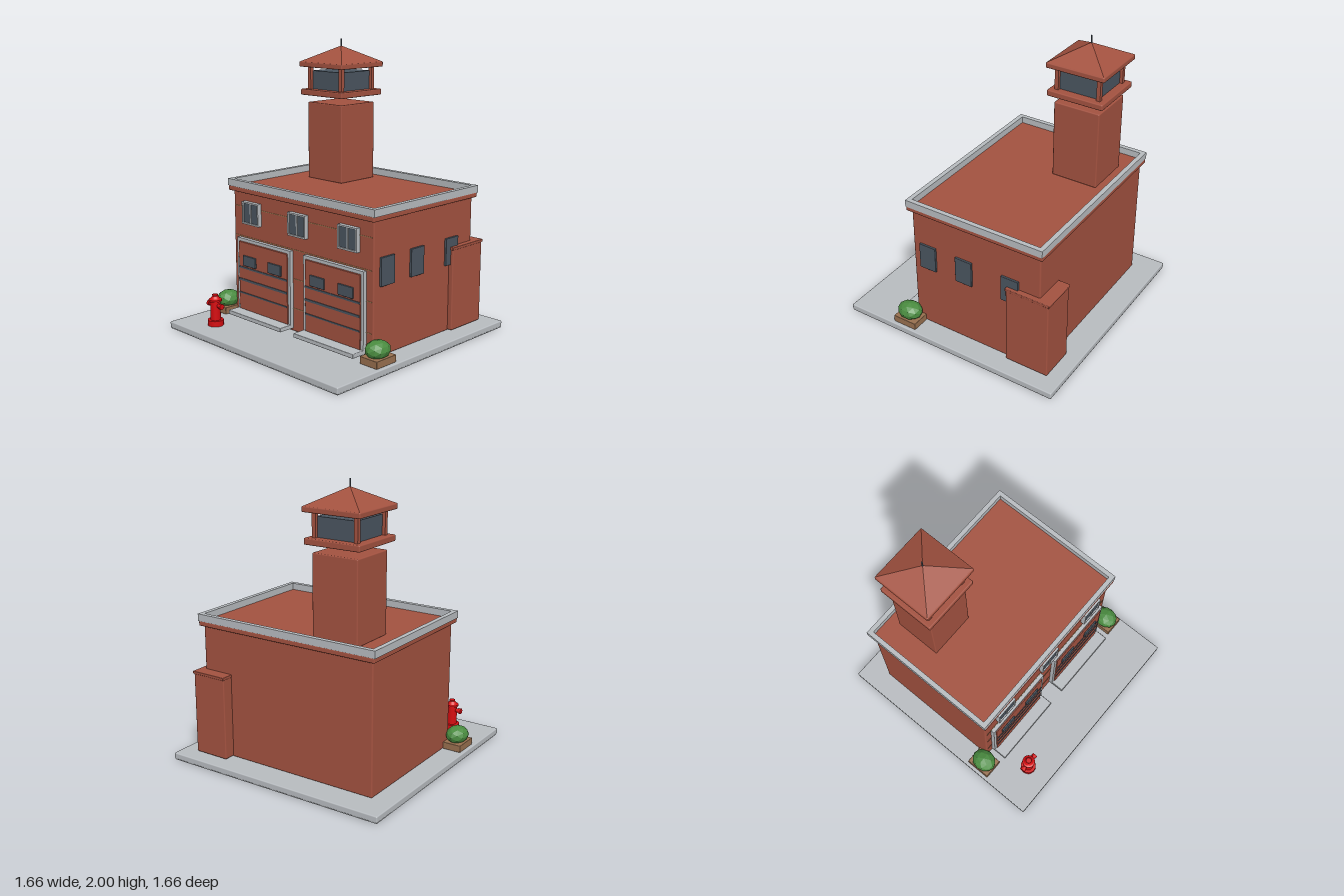
import * as THREE from 'three';
import { RoundedBoxGeometry } from 'three/addons/geometries/RoundedBoxGeometry.js';

const paint = (name, color) => {
  const m = new THREE.MeshStandardMaterial({ color });
  m.name = name;
  return m;
};

export function createModel() {
  const model = new THREE.Group();
  model.name = 'fireStation';
  const brick = paint('brick', 0xa35240);
  const concrete = paint('concrete', 0xb8bcc0);
  const slate = paint('slate', 0x4a5560);
  const tan = paint('tan', 0xa8895a);
  const wood = paint('wood', 0x98704f);
  const leaf = paint('leaf', 0x4a8c40);
  const red = paint('red', 0xd60c10);

  const add = (name, geo, mat, parent = model) => {
    const mesh = new THREE.Mesh(geo, mat);
    mesh.name = name;
    parent.add(mesh);
    return mesh;
  };
  // Box given by its limits, with an optional softened edge
  const box = (name, mat, x0, x1, y0, y1, z0, z1, r = 0, parent = model) => {
    const size = [x1 - x0, y1 - y0, z1 - z0];
    const geo = r ? new RoundedBoxGeometry(...size, 2, r) : new THREE.BoxGeometry(...size);
    geo.translate((x0 + x1) / 2, (y0 + y1) / 2, (z0 + z1) / 2);
    return add(name, geo, mat, parent);
  };
  const group = (name, parent = model) => {
    const g = new THREE.Group();
    g.name = name;
    parent.add(g);
    return g;
  };
  const flat = (geo) => {
    const g = geo.index ? geo.toNonIndexed() : geo;
    g.computeVertexNormals();
    return g;
  };
  // Rectangular ring in the XY plane, extruded along z
  const ring = (w, h, t, depth) => {
    const rect = (P, a, b) => new P([[-a, -b], [a, -b], [a, b], [-a, b]].map((p) => new THREE.Vector2(...p)));
    const s = rect(THREE.Shape, w / 2, h / 2);
    s.holes.push(rect(THREE.Path, w / 2 - t, h / 2 - t));
    return new THREE.ExtrudeGeometry(s, { depth, bevelEnabled: false });
  };

  // Ground slab and main building
  box('groundSlab', concrete, -0.83, 0.83, 0.005, 0.05, -0.83, 0.83, 0.008);
  box('groundSlabBase', concrete, -0.825, 0.825, 0, 0.01, -0.825, 0.825);
  box('walls', brick, -0.675, 0.675, 0.05, 0.955, -0.645, 0.35, 0.01);
  box('cornice', brick, -0.7, 0.7, 0.952, 0.987, -0.67, 0.38, 0.008);
  const parapet = add('parapet', ring(1.41, 1.05, 0.033, 0.05), concrete);
  parapet.rotation.x = -Math.PI / 2;
  parapet.position.set(0, 0.985, -0.146);
  box('annex', brick, 0.45, 0.71, 0.055, 0.63, -0.725, -0.405, 0.008);
  box('annexCap', brick, 0.448, 0.715, 0.625, 0.645, -0.732, -0.4, 0.005);

  // Mortar lines across the front
  for (const y of [0.215, 0.425, 0.63, 0.845]) {
    box('facadeLine', tan, -0.66, 0.66, y - 0.002, y + 0.002, 0.348, 0.353);
  }

  // Upper windows
  for (const x of [-0.47, 0, 0.47]) {
    const win = group('upperWindow');
    win.position.set(x, 0.812, 0.35);
    box('pane', slate, -0.075, 0.075, -0.07, 0.07, 0, 0.022, 0, win);
    add('frame', ring(0.17, 0.16, 0.011, 0.032), concrete, win);
    box('mullion', concrete, -0.005, 0.005, -0.07, 0.07, 0.02, 0.028, 0, win);
  }

  // Side windows
  for (const z of [0.23, -0.06, -0.42]) {
    box('sideWindow', slate, 0.67, 0.69, 0.52, 0.71, z - 0.065, z + 0.065, 0.003);
  }

  // Garage doors
  for (const x of [-0.34, 0.34]) {
    const door = group('garageDoor');
    door.position.x = x;
    const frame = add('doorFrame', ring(0.55, 0.55, 0.022, 0.028), concrete, door);
    frame.position.set(0, 0.347, 0.35);
    box('doorPanel', brick, -0.253, 0.253, 0.098, 0.598, 0.35, 0.386, 0.005, door);
    for (const [y, h] of [[0.412, 0.013], [0.322, 0.016], [0.223, 0.01]]) {
      box('doorGroove', slate, -0.25, 0.25, y - h / 2, y + h / 2, 0.384, 0.391, 0, door);
    }
    for (const wx of [-0.131, 0.131]) {
      box('doorWindow', slate, wx - 0.067, wx + 0.067, 0.43, 0.505, 0.385, 0.398, 0.004, door);
    }
    box('doorApron', concrete, -0.275, 0.275, 0.07, 0.1, 0.35, 0.475, 0.005, door);
  }

  // Lookout tower
  const tower = group('tower');
  tower.position.set(-0.335, 0, -0.39);
  box('shaft', brick, -0.17, 0.17, 0.985, 1.545, -0.17, 0.17, 0.008, tower);
  box('deck', brick, -0.207, 0.207, 1.597, 1.64, -0.207, 0.207, 0.008, tower);
  box('lookoutGlass', slate, -0.147, 0.147, 1.635, 1.772, -0.147, 0.147, 0, tower);
  for (const sx of [-1, 1]) {
    for (const sz of [-1, 1]) {
      const cx = sx * 0.155, cz = sz * 0.155;
      box('post', brick, cx - 0.014, cx + 0.014, 1.635, 1.805, cz - 0.014, cz + 0.014, 0, tower);
    }
  }
  box('eave', brick, -0.215, 0.215, 1.8, 1.838, -0.215, 0.215, 0.008, tower);
  const roof = new THREE.ConeGeometry(0.213 * Math.SQRT2, 0.115, 4).rotateY(Math.PI / 4);
  add('towerRoof', flat(roof), brick, tower).position.y = 1.8925;
  add('antenna', new THREE.CylinderGeometry(0.005, 0.005, 0.07, 8), slate, tower).position.y = 1.965;

  // Planters with bushes
  for (const x of [-0.735, 0.735]) {
    box('planter', wood, x - 0.073, x + 0.073, 0.05, 0.1, 0.28, 0.462, 0.004);
    const bush = new THREE.IcosahedronGeometry(1, 1).scale(0.078, 0.062, 0.093);
    add('bush', flat(bush), leaf).position.set(x, 0.14, 0.373);
  }

  // Fire hydrant
  const hydrant = group('hydrant');
  hydrant.position.set(-0.547, 0, 0.645);
  const profile = [
    [0, 0.05], [0.056, 0.05], [0.056, 0.09], [0.036, 0.09], [0.036, 0.225],
    [0.046, 0.225], [0.046, 0.238], [0.034, 0.243], [0.02, 0.262], [0.02, 0.272], [0, 0.272],
  ];
  // Each profile segment is its own band so the steps stay sharp
  for (let i = 1; i < profile.length; i++) {
    const band = [profile[i - 1], profile[i]].map((p) => new THREE.Vector2(...p));
    add('hydrantBody', new THREE.LatheGeometry(band, 16), red, hydrant);
  }
  const crossTube = (name, r, length, x) => {
    const geo = new THREE.CylinderGeometry(r, r, length, 12).rotateZ(Math.PI / 2);
    add(name, geo, red, hydrant).position.set(x, 0.195, 0);
  };
  crossTube('nozzles', 0.014, 0.13, 0);
  for (const s of [-1, 1]) crossTube('nozzleCap', 0.02, 0.02, s * 0.064);

  return model;
}
